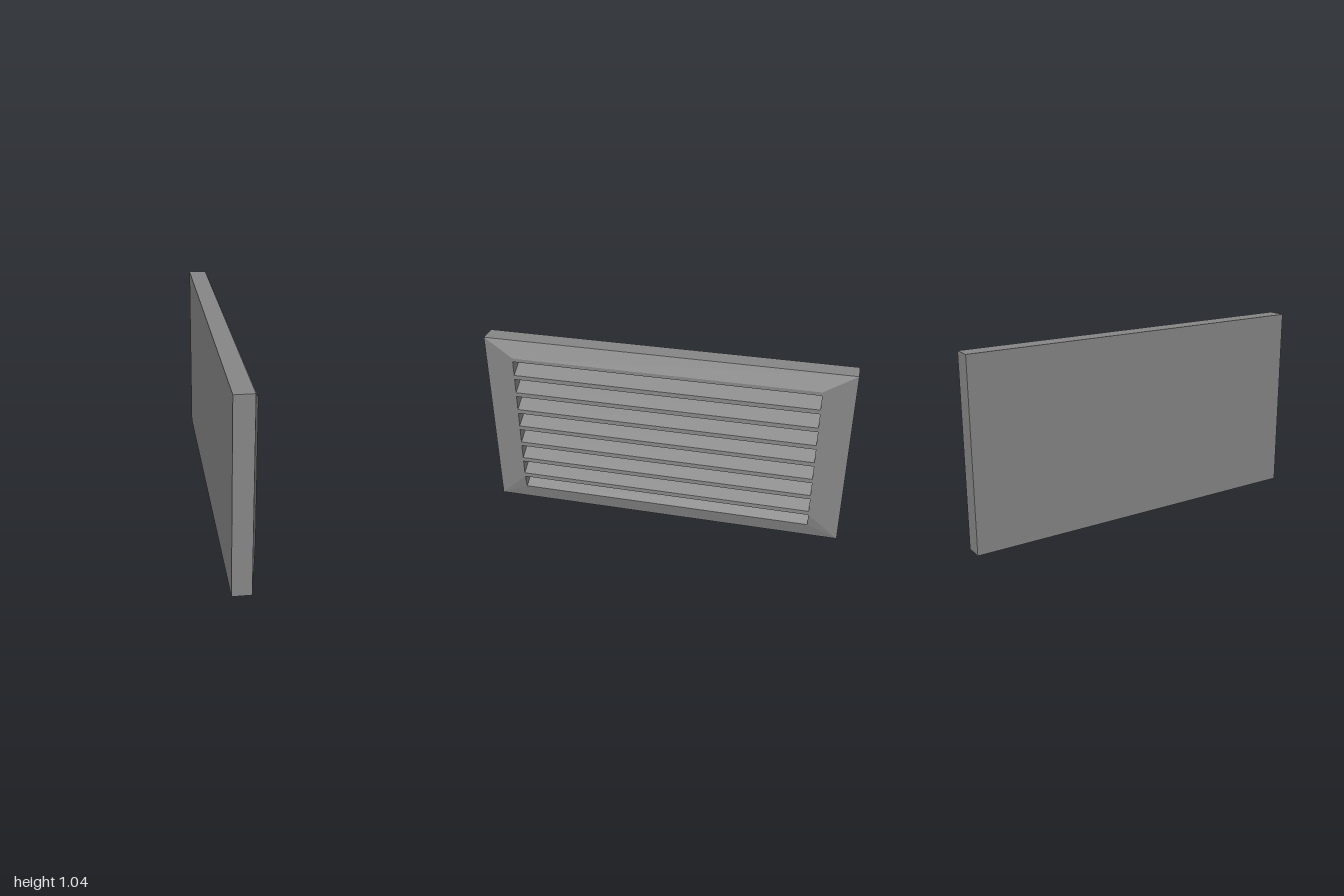
import * as THREE from 'three';

const H = 1.04, BACK = -0.07, FLOOR = -0.03, EDGE = 0.03, FRONT = 0.07;
const IN_Z = 0.83, IN_BOTTOM = 0.09, IN_TOP = 0.95, LIP = 0.055;
const FIRST = 0.17, PITCH = 0.1086, SLATS = 7;

// Bridge successive loops of [x, y, z] points with flat quads, skipping collapsed triangles
function skin(loops) {
  const pos = [];
  const tri = (...p) => {
    const [a, b, c] = p.map((q) => new THREE.Vector3(...q));
    if (new THREE.Triangle(a, b, c).getArea() > 1e-7) pos.push(...p.flat());
  };
  for (let k = 0; k < loops.length - 1; k++) {
    const A = loops[k], B = loops[k + 1];
    for (let i = 0; i < A.length; i++) {
      const j = (i + 1) % A.length;
      tri(A[i], A[j], B[j]);
      tri(A[i], B[j], B[i]);
    }
  }
  const g = new THREE.BufferGeometry();
  g.setAttribute('position', new THREE.Float32BufferAttribute(pos, 3));
  g.computeVertexNormals();
  return g;
}

// Bar running across the opening, from an x-y profile
function bar(points) {
  const shape = new THREE.Shape(points.map(([x, y]) => new THREE.Vector2(x, y)));
  return new THREE.ExtrudeGeometry(shape, { depth: 2 * IN_Z, bevelEnabled: false }).translate(0, 0, -IN_Z);
}

export function createModel() {
  const group = new THREE.Group();
  const grey = new THREE.MeshStandardMaterial({ color: 0x868686 });
  grey.name = 'grey metal';
  const black = new THREE.MeshStandardMaterial({ color: 0x101010 });
  black.name = 'black interior';
  const add = (name, geometry, material) => {
    const mesh = new THREE.Mesh(geometry, material);
    mesh.name = name;
    group.add(mesh);
  };

  // Housing: closed back, outer walls, bevelled front, recess walls and floor
  const centre = (x) => Array.from({ length: 6 }, () => [x, H / 2, 0]);
  const outer = (x) => [[x, 0, 1], [x, 0, -1], [x, 0, -1], [x, H, -1], [x, H, 1], [x, 0, 1]];
  const inner = (x, lipX) => [
    [lipX, IN_BOTTOM, IN_Z], [lipX, IN_BOTTOM, -IN_Z], [x, FIRST, -IN_Z],
    [x, IN_TOP, -IN_Z], [x, IN_TOP, IN_Z], [x, FIRST, IN_Z],
  ];
  add('frame', skin([
    centre(BACK), outer(BACK), outer(EDGE), inner(FRONT, LIP), inner(FLOOR, FLOOR), centre(FLOOR),
  ]), grey);

  // Dark panel behind the slats
  const panel = new THREE.BoxGeometry(0.004, IN_TOP - IN_BOTTOM, 2 * IN_Z);
  panel.translate(FLOOR + 0.003, (IN_TOP + IN_BOTTOM) / 2, 0);
  add('darkPanel', panel, black);

  // Slats rising towards the back
  for (let i = 0; i < SLATS; i++) {
    const y = FIRST + i * PITCH;
    add('slat' + (i + 1), bar([
      [FRONT, y], [FRONT, y + 0.025], [FLOOR, y + 0.08], [FLOOR, y + 0.055],
    ]), grey);
  }

  // Sloped sill below and header lip above the slats
  add('sill', bar([[LIP, IN_BOTTOM], [FLOOR, 0.14], [FLOOR, IN_BOTTOM]]), grey);
  add('header', bar([[FRONT, 0.93], [FRONT, IN_TOP], [0.034, IN_TOP]]), grey);

  return group;
}
